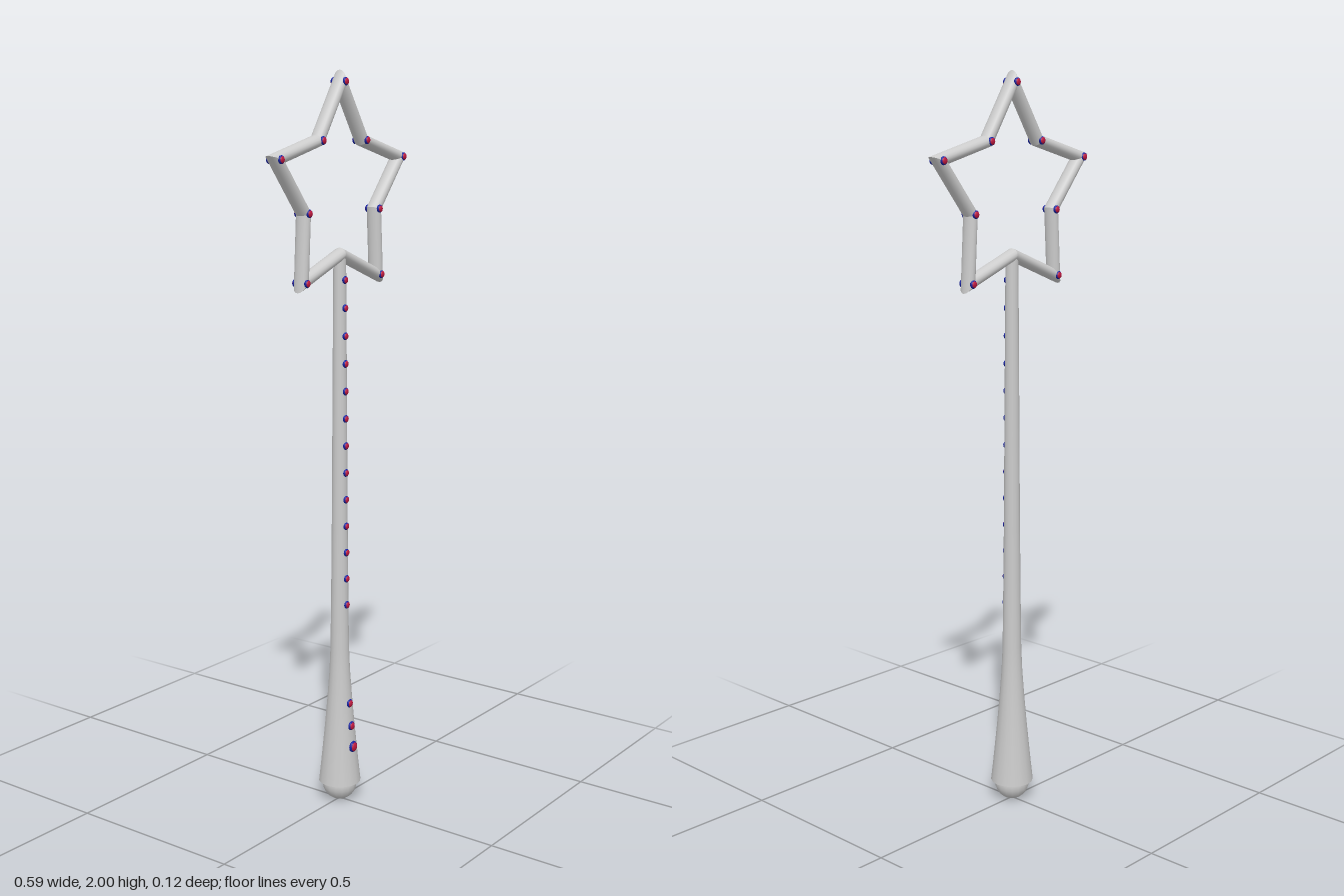
import * as THREE from 'three';

const grey = new THREE.MeshStandardMaterial({ color: 0xcccccc });
const red = new THREE.MeshStandardMaterial({ color: 0xc01840 });
const blue = new THREE.MeshStandardMaterial({ color: 0x1420a0 });

const STAR_Y = 1.694, OUTER = 0.279, INNER = 0.162;
const HALF_WIDTH = 0.016, HALF_DEPTH = 0.021, SIDES = 16;

// handle silhouette, [radius, height]
const PROFILE = [
  [0.059, 0.056], [0.053, 0.11], [0.047, 0.17], [0.041, 0.23], [0.035, 0.3], [0.029, 0.38],
  [0.026, 0.45], [0.024, 0.6], [0.022, 0.8], [0.02, 1.1], [0.018, 1.4], [0.017, 1.525],
];

function add(parent, name, geometry, material) {
  const mesh = new THREE.Mesh(geometry, material);
  mesh.name = name;
  parent.add(mesh);
  return mesh;
}

const lathe = (points) => new THREE.LatheGeometry(points.map(([r, y]) => new THREE.Vector2(r, y)), 16);

function handleRadius(y) {
  const i = PROFILE.findIndex((p) => p[1] >= y);
  const [r0, y0] = PROFILE[i - 1], [r1, y1] = PROFILE[i];
  return r0 + (r1 - r0) * (y - y0) / (y1 - y0);
}

// corner i of the star; even corners are the tips
function starCorner(i) {
  const a = Math.PI / 2 + i * Math.PI / 5;
  const dir = new THREE.Vector2(Math.cos(a), Math.sin(a));
  return { dir, pos: dir.clone().multiplyScalar(i % 2 ? INNER : OUTER) };
}

// one bar of the star: an elliptical tube mitred along the radial line at both ends
function starBar(i) {
  const ends = [starCorner(i), starCorner(i + 1)];
  const edge = ends[1].pos.clone().sub(ends[0].pos).normalize();
  const positions = [], index = [];
  for (const { dir, pos } of ends) {
    const reach = HALF_WIDTH / Math.abs(dir.cross(edge));
    for (let k = 0; k < SIDES; k++) {
      const t = k / SIDES * Math.PI * 2;
      const p = pos.clone().addScaledVector(dir, reach * Math.cos(t));
      positions.push(p.x, p.y, HALF_DEPTH * Math.sin(t));
    }
  }
  for (let k = 0; k < SIDES; k++) {
    const n = (k + 1) % SIDES;
    index.push(k, k + SIDES, n, n, k + SIDES, n + SIDES);
  }
  const g = new THREE.BufferGeometry();
  g.setAttribute('position', new THREE.Float32BufferAttribute(positions, 3));
  g.setIndex(index);
  g.computeVertexNormals();
  return g;
}

// round jewel with a blue rim and a red dome, facing +z or -z
function addGem(parent, name, x, y, z, r, side = 1) {
  const gem = new THREE.Group();
  gem.name = name;
  add(gem, 'gemRim', new THREE.SphereGeometry(r, 12, 8), blue).scale.z = 0.6;
  const dome = add(gem, 'gemDome', new THREE.SphereGeometry(r * 0.85, 12, 8), red);
  dome.scale.z = 0.6;
  dome.position.z = r * 0.17 * side;
  gem.position.set(x, y, z * side);
  parent.add(gem);
}

export function createModel() {
  const wand = new THREE.Group();
  wand.name = 'starWand';

  // handle with a flared grip, its flat underside and the round pommel
  add(wand, 'handle', lathe(PROFILE), grey);
  add(wand, 'handleUnderside', lathe([[0, 0.056], [0.059, 0.056]]), grey);
  add(wand, 'pommel', new THREE.SphereGeometry(0.048, 16, 12), grey).position.y = 0.048;

  // star frame
  const star = new THREE.Group();
  star.name = 'star';
  star.position.y = STAR_Y;
  wand.add(star);
  for (let i = 0; i < 10; i++) {
    add(star, 'starBar', starBar(i), grey);
    if (i === 5) continue; // the handle joins here
    const { pos } = starCorner(i);
    for (const side of [1, -1]) addGem(star, 'starGem', pos.x, pos.y, 0.019, 0.011, side);
  }

  // jewels down the front of the handle
  for (let i = 0; i < 13; i++) {
    const y = 1.465 - i * 0.0742;
    addGem(wand, 'shaftGem', 0, y, handleRadius(y), 0.0105);
  }
  for (const [y, r] of [[0.29, 0.012], [0.225, 0.013], [0.165, 0.016]]) {
    addGem(wand, 'gripGem', 0, y, handleRadius(y) - 0.002, r);
  }
  return wand;
}
